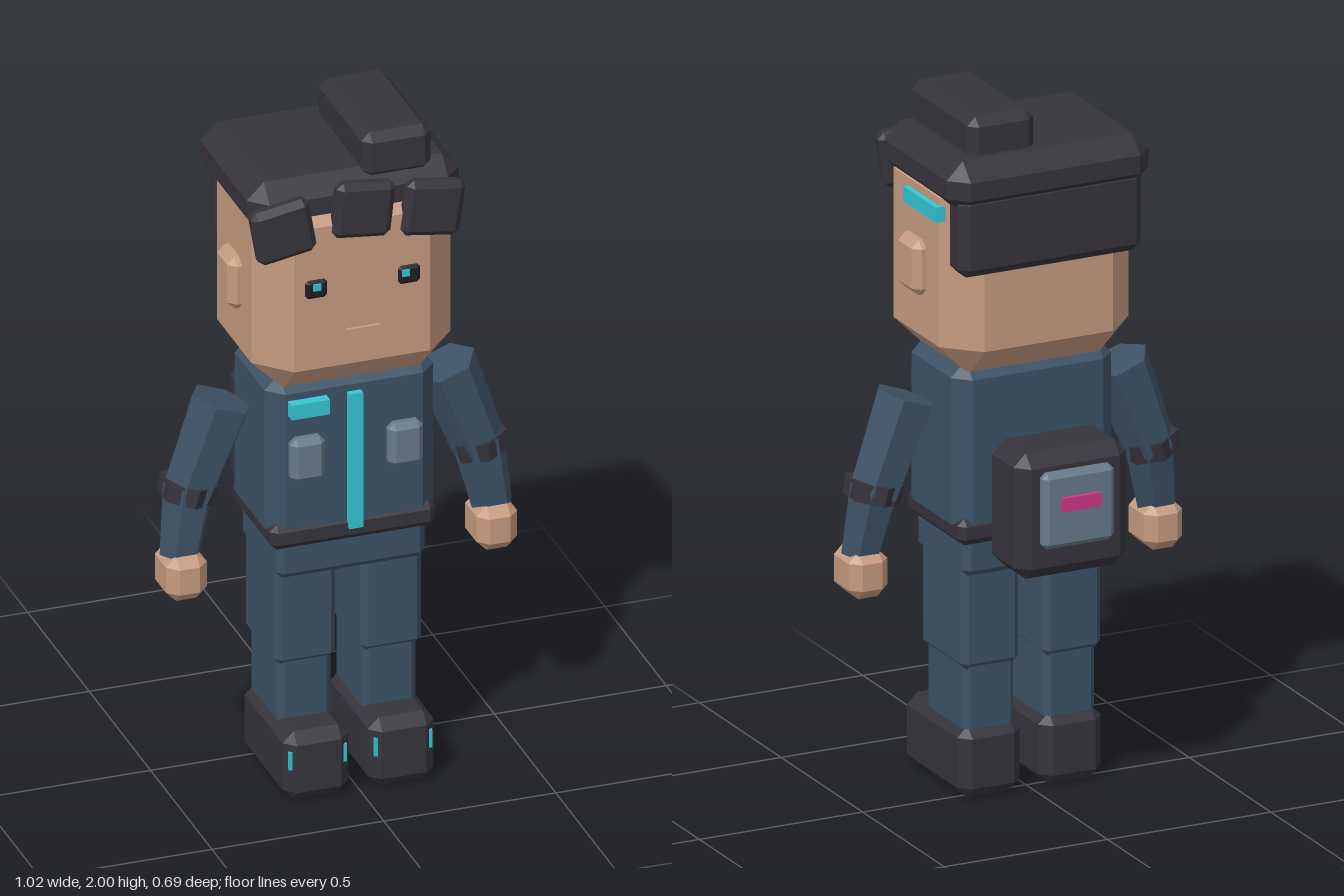
import * as THREE from 'three';
import { ConvexGeometry } from 'three/addons/geometries/ConvexGeometry.js';

const material = (name, color) => {
  const m = new THREE.MeshStandardMaterial({ color });
  m.name = name;
  return m;
};

// Box with chamfered edges, given by its min/max on each axis
function chamferBox(x, y, z, c) {
  const size = [x[1] - x[0], y[1] - y[0], z[1] - z[0]];
  const mid = [(x[0] + x[1]) / 2, (y[0] + y[1]) / 2, (z[0] + z[1]) / 2];
  let geo;
  if (c) {
    const h = size.map(s => s / 2), pts = [];
    for (const sx of [-1, 1]) for (const sy of [-1, 1]) for (const sz of [-1, 1]) {
      const s = [sx, sy, sz];
      for (let full = 0; full < 3; full++) {
        pts.push(new THREE.Vector3(...s.map((k, i) => k * (i === full ? h[i] : h[i] - c))));
      }
    }
    geo = new ConvexGeometry(pts);
  } else {
    geo = new THREE.BoxGeometry(...size);
  }
  return { geo, mid };
}

export function createModel() {
  const model = new THREE.Group();
  model.name = 'figure';
  const skin = material('skin', 0xc69b80);
  const suit = material('suitBlue', 0x3c5266);
  const dark = material('charcoal', 0x36343b);
  const slate = material('slate', 0x667a8b);
  const cyan = material('cyan', 0x35c6d4);
  const pink = material('pink', 0xd0368a);
  const black = material('eyeBlack', 0x1e1f26);

  const box = (name, mat, x, y, z, c = 0) => {
    const { geo, mid } = chamferBox(x, y, z, c);
    const mesh = new THREE.Mesh(geo, mat);
    mesh.position.set(...mid);
    mesh.name = name;
    model.add(mesh);
    return mesh;
  };

  // Six-sided tapered segment between two points
  const limb = (name, mat, from, to, r0, r1, turn = Math.PI / 2) => {
    const a = new THREE.Vector3(...from), b = new THREE.Vector3(...to);
    const geo = new THREE.CylinderGeometry(r0, r1, a.distanceTo(b), 6).rotateY(turn).toNonIndexed();
    geo.computeVertexNormals();
    const mesh = new THREE.Mesh(geo, mat);
    mesh.position.copy(a).add(b).multiplyScalar(0.5);
    mesh.quaternion.setFromUnitVectors(new THREE.Vector3(0, 1, 0), a.sub(b).normalize());
    mesh.name = name;
    model.add(mesh);
  };

  // Head and face
  box('head', skin, [-0.29, 0.29], [1.24, 1.86], [-0.14, 0.325], 0.093);
  box('mouth', skin, [-0.05, 0.05], [1.425, 1.443], [0.32, 0.335]);

  // Hair
  box('hairCap', dark, [-0.31, 0.308], [1.742, 1.895], [-0.18, 0.3], 0.05);
  box('hairBack', dark, [-0.28, 0.28], [1.56, 1.8], [-0.168, -0.07], 0.025);
  box('hairTuft', dark, [0.02, 0.222], [1.86, 2], [-0.108, 0.283], 0.025);
  for (const [x, y, tilt] of [[-0.23, 1.772, 0.17], [0.003, 1.801, -0.11], [0.205, 1.772, -0.15]]) {
    const lock = box('hairFringe', dark, [x - 0.086, x + 0.086], [y - 0.083, y + 0.083], [0.289, 0.344], 0.018);
    lock.rotation.z = tilt;
  }
  box('hairClip', cyan, [0.27, 0.306], [1.7, 1.745], [-0.06, 0.14]);

  // Torso, belt and hips
  box('torso', suit, [-0.245, 0.245], [0.76, 1.275], [-0.075, 0.257], 0.045);
  box('belt', dark, [-0.24, 0.24], [0.75, 0.827], [-0.08, 0.262], 0.02);
  box('hips', suit, [-0.217, 0.217], [0.65, 0.78], [-0.06, 0.243], 0.02);
  box('zip', cyan, [-0.02, 0.02], [0.795, 1.21], [0.25, 0.277]);
  box('chestBadge', cyan, [-0.192, -0.08], [1.165, 1.21], [0.25, 0.287]);

  // Backpack
  box('backpack', dark, [-0.172, 0.172], [0.705, 1.07], [-0.305, -0.1], 0.037);
  box('backpackPanel', slate, [-0.11, 0.11], [0.8, 1.02], [-0.333, -0.29], 0.015);
  box('backpackLight', pink, [-0.06, 0.06], [0.91, 0.95], [-0.345, -0.32]);

  for (const s of [-1, 1]) {
    // x range on one side of the body
    const span = (a, b) => (s > 0 ? [a, b] : [-b, -a]);

    box('ear', skin, span(0.265, 0.325), [1.455, 1.615], [0.03, 0.155], 0.022);
    box('eye', black, span(0.103, 0.167), [1.553, 1.608], [0.315, 0.336], 0.009);
    const gx = s > 0 ? 0.122 : -0.136;
    box('eyeGlint', cyan, [gx - 0.011, gx + 0.011], [1.58, 1.6], [0.33, 0.34]);
    box('chestPocket', slate, span(0.092, 0.193), [0.968, 1.1], [0.245, 0.296], 0.017);

    // Arm: sleeve, elbow pad, forearm and hand
    limb('upperArm', suit, [s * 0.325, 1.156, 0.087], [s * 0.424, 0.89, 0.087], 0.09, 0.076);
    limb('forearm', suit, [s * 0.42, 0.915, 0.087], [s * 0.455, 0.71, 0.108], 0.076, 0.058);
    limb('elbowPad', dark, [s * 0.418, 0.926, 0.087], [s * 0.43, 0.872, 0.088], 0.084, 0.08, 0);
    box('hand', skin, span(0.392, 0.511), [0.595, 0.732], [0.035, 0.185], 0.03);

    // Leg and boot
    box('upperLeg', suit, span(0.036, 0.214), [0.375, 0.7], [-0.042, 0.222], 0.018);
    box('lowerLeg', suit, span(0.045, 0.202), [0.18, 0.4], [-0.03, 0.211], 0.018);
    box('boot', dark, span(0.028, 0.22), [0, 0.208], [-0.05, 0.322], 0.032);
    box('bootLight', cyan, span(0.04, 0.208), [0.1, 0.155], [0.27, 0.312]);
  }
  return model;
}
